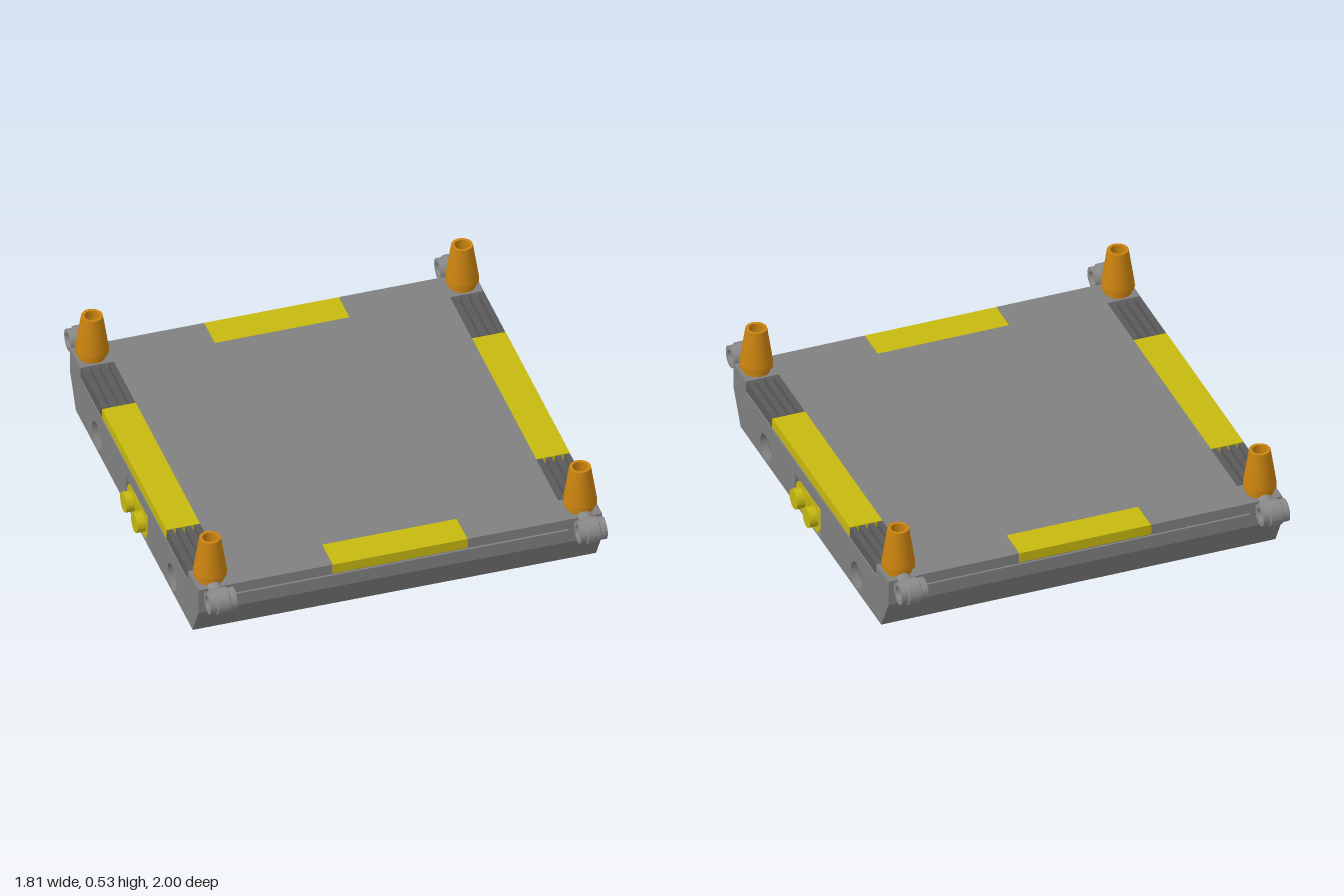
import * as THREE from 'three';

export function createModel() {
  const model = new THREE.Group();
  const mat = (name, color, side = THREE.FrontSide) => {
    const m = new THREE.MeshStandardMaterial({ color, side });
    m.name = name;
    return m;
  };
  const grey = mat('grey', 0x808080);
  const dark = mat('dark grey', 0x5a5a5a);
  const light = mat('light grey', 0x8a8a8a);
  const yellow = mat('yellow', 0xc6b810);
  const orange = mat('orange', 0xc9820f);

  const add = (name, geo, material, parent = model) => {
    const mesh = new THREE.Mesh(geo, material);
    mesh.name = name;
    parent.add(mesh);
    return mesh;
  };
  // Box given by its ranges in x, y and z
  const box = (name, x0, x1, y0, y1, z0, z1, material, parent) => {
    const b = add(name, new THREE.BoxGeometry(x1 - x0, y1 - y0, z1 - z0), material, parent);
    b.position.set((x0 + x1) / 2, (y0 + y1) / 2, (z0 + z1) / 2);
    return b;
  };
  // Cylinder along x
  const rodX = (name, r, x0, x1, y, z, material, parent) => {
    const c = add(name, new THREE.CylinderGeometry(r, r, Math.abs(x1 - x0), 24), material, parent);
    c.rotation.z = Math.PI / 2;
    c.position.set((x0 + x1) / 2, y, z);
    return c;
  };

  // Body: side profile (z, y) with sloped lower ends, extruded along x
  const profile = () => new THREE.Shape([
    [-0.79, 0.065], [0.79, 0.065], [0.87, 0.21], [0.87, 0.27], [-0.87, 0.27], [-0.87, 0.21],
  ].map(p => new THREE.Vector2(...p)));
  const slice = (name, shape, x0, x1) => {
    const geo = new THREE.ExtrudeGeometry(shape, { depth: x1 - x0, bevelEnabled: false, curveSegments: 16 });
    geo.rotateY(-Math.PI / 2).translate(x1, 0, 0);
    add(name, geo, grey);
  };
  slice('bodyCore', profile(), -0.82, 0.82);
  const cheek = profile();
  for (const z of [-0.51, 0.51]) {
    cheek.holes.push(new THREE.Path().absarc(z, 0.135, 0.06, 0, Math.PI * 2, true));
  }
  cheek.holes.push(new THREE.Path([
    [-0.11, 0.07], [-0.11, 0.21], [0.18, 0.21], [0.18, 0.07],
  ].map(p => new THREE.Vector2(...p))));
  slice('bodyCheekLeft', cheek, 0.82, 0.87);
  slice('bodyCheekRight', cheek, -0.87, -0.82);

  // Side lights and pin holes
  for (const s of [-1, 1]) {
    for (const z of [-0.51, 0.51]) rodX('pinHole', 0.058, s * 0.81, s * 0.835, 0.135, z, dark);
    box('lightPanel', s * 0.823 - 0.003, s * 0.823 + 0.003, 0.072, 0.208, -0.108, 0.178, dark);
    for (const z of [-0.038, 0.108]) {
      rodX('lightCollar', 0.069, s * 0.82, s * 0.868, 0.137, z, yellow);
      rodX('lightLens', 0.044, s * 0.86, s * 0.905, 0.137, z, yellow);
    }
  }

  // Deck: a recessed seam, then the slab and edge tiles
  const T = 0.325, B = 0.28;
  box('deckSeam', -0.86, 0.86, 0.265, 0.285, -0.86, 0.86, grey);
  box('deck', -0.725, 0.725, B, T, -0.725, 0.725, grey);
  for (const s of [-1, 1]) {
    const zr = [s * 0.725, s * 0.87].sort((a, b) => a - b);
    box('endTile', -0.29, 0.29, B, T, ...zr, yellow);
    box('sideTile', ...zr, B, T, -0.435, 0.435, yellow);
    for (const t of [-1, 1]) {
      const xr = [t * 0.292, t * 0.725].sort((a, b) => a - b);
      box('endDeckTile', ...xr, B, T, ...zr, grey);
    }
  }

  // Corners: solid block, grille, cone and hinge ring
  const coneProfile = [
    [0.031, 0.34], [0.031, 0.53], [0.045, 0.53], [0.07, 0.365], [0.07, 0.35], [0.058, 0.345], [0.058, 0.325],
  ].map(p => new THREE.Vector2(...p)).reverse();
  const ringProfile = [
    [0.03, -0.058], [0.048, -0.058], [0.048, -0.03], [0.055, -0.026], [0.055, 0.026],
    [0.048, 0.03], [0.048, 0.058], [0.03, 0.058], [0.03, -0.058],
  ].map(p => new THREE.Vector2(...p));
  // Lathe each straight run on its own so that its edges stay sharp
  const turned = (name, points, material, parent) => {
    for (let i = 0; i < points.length - 1; i++) {
      add(name, new THREE.LatheGeometry([points[i], points[i + 1]], 28), material, parent);
    }
  };

  for (const sx of [-1, 1]) {
    for (const sz of [-1, 1]) {
      const corner = new THREE.Group();
      corner.name = 'corner';
      model.add(corner);
      const xr = [sx * 0.725, sx * 0.87].sort((a, b) => a - b);
      const zr = [sz * 0.73, sz * 0.87].sort((a, b) => a - b);
      box('cornerBlock', ...xr, 0.268, T, ...zr, grey, corner);

      // Grille of four slats over a base plate
      const gz = [sz * 0.438, sz * 0.728].sort((a, b) => a - b);
      box('grilleBase', ...xr, B, 0.3, ...gz, dark, corner);
      for (let i = 0; i < 4; i++) {
        const x = xr[0] + 0.0135 + i * 0.0393;
        box('grilleSlat', x - 0.0125, x + 0.0125, 0.298, T, ...gz, dark, corner);
      }

      const cone = new THREE.Group();
      cone.name = 'cone';
      cone.position.set(sx * 0.798, 0, sz * 0.798);
      corner.add(cone);
      turned('coneShell', coneProfile, orange, cone);
      const stud = add('coneStud', new THREE.CylinderGeometry(0.031, 0.031, 0.14, 20), dark, cone);
      stud.position.y = 0.4;

      const hinge = new THREE.Group();
      hinge.name = 'hingeRing';
      hinge.position.set(sx * 0.798, 0.31, sz * 0.945);
      corner.add(hinge);
      const ring = new THREE.Group();
      ring.name = 'ring';
      ring.rotation.z = Math.PI / 2;
      hinge.add(ring);
      turned('ringShell', ringProfile, light, ring);
      const neck = add('hingeNeck', new THREE.CylinderGeometry(0.032, 0.032, 0.06, 20), light, hinge);
      neck.rotation.x = Math.PI / 2;
      neck.position.z = -sz * 0.07;
    }
  }

  // Underside: cross bar and two small plates
  box('underBar', -0.72, 0.72, 0.003, 0.048, -0.11, 0.18, grey);
  box('underBarNeck', -0.715, 0.715, 0.045, 0.068, -0.1, 0.17, dark);
  for (const z of [-0.337, 0.337]) box('underPlate', -0.145, 0.145, 0.035, 0.068, z - 0.072, z + 0.072, grey);

  // Stand the model on the ground
  model.position.y = -0.003;
  return model;
}
